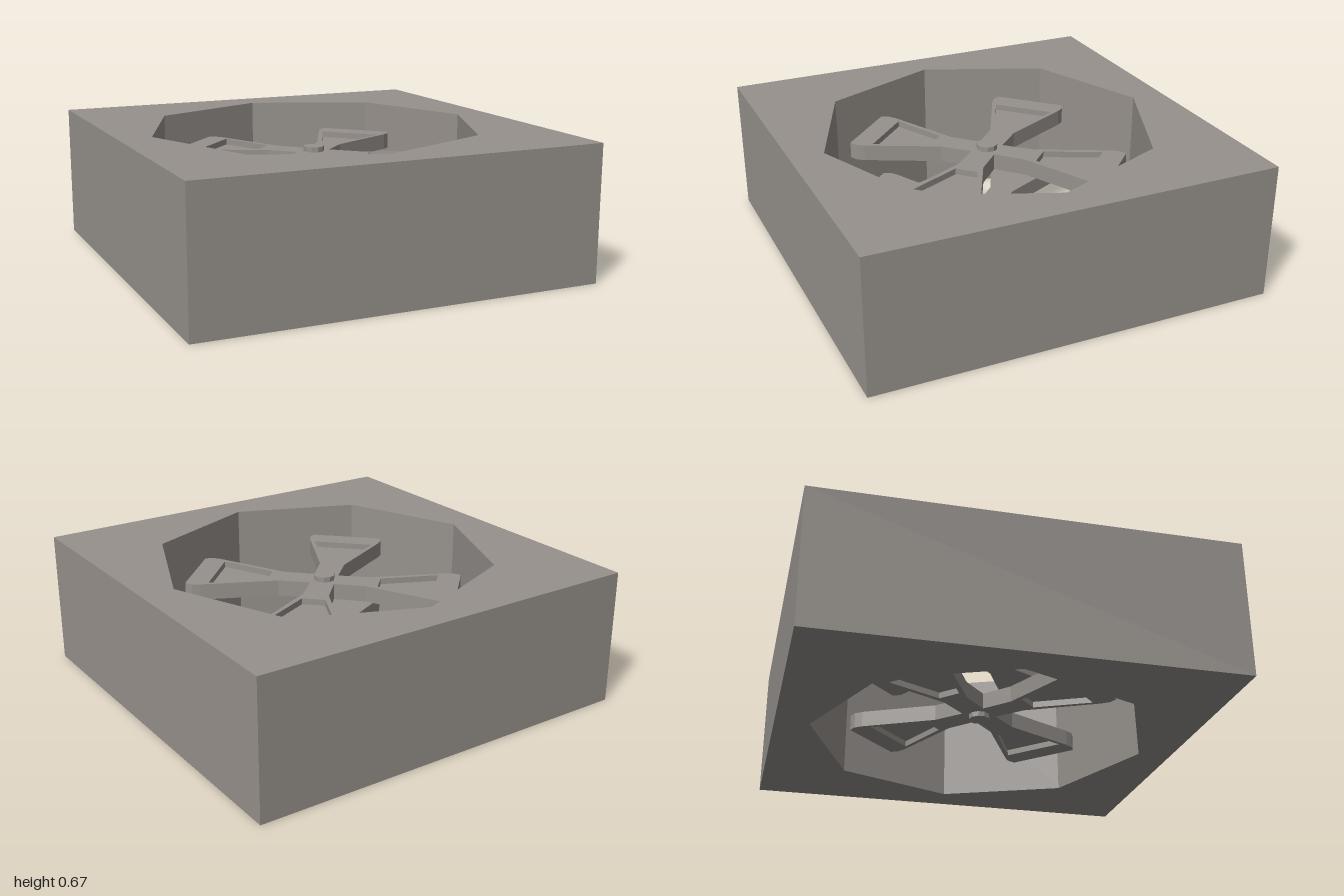
import * as THREE from 'three';

const HEIGHT = 0.67;
const toVecs = (pts) => pts.map(([x, y]) => new THREE.Vector2(x, y));

// Extrude a flat outline upwards from y = 0
function slab(shape, depth) {
  const g = new THREE.ExtrudeGeometry(shape, { depth, bevelEnabled: false });
  return g.rotateX(-Math.PI / 2);
}

// Repeat the outline of one diagonal blade around the hub
function crossShape() {
  const blade = [
    [0.085, 0], [0.2, 0.11], [0.545, 0.28], [0.58, 0.305], [0.597, 0.342],
    [0.342, 0.597], [0.305, 0.58], [0.28, 0.545], [0.11, 0.2],
  ];
  const pts = [];
  for (let i = 0; i < 4; i++) {
    for (const p of toVecs(blade)) pts.push(p.rotateAround(new THREE.Vector2(), i * Math.PI / 2));
  }
  return new THREE.Shape(pts);
}

function makeFan(material) {
  const fan = new THREE.Group();
  const add = (name, geometry, y) => {
    const m = new THREE.Mesh(geometry, material);
    m.name = name;
    m.position.y = y;
    fan.add(m);
  };

  // Solid lower layer, and an upper layer with a pocket in each blade
  add('bladeBase', slab(crossShape(), 0.05), 0);
  const rim = crossShape();
  const pocket = [[0.155, 0.235], [0.235, 0.155], [0.5, 0.28], [0.28, 0.5]];
  for (let i = 0; i < 4; i++) {
    const pts = toVecs(pocket).map((p) => p.rotateAround(new THREE.Vector2(), i * Math.PI / 2));
    rim.holes.push(new THREE.Path(pts));
  }
  add('bladeRim', slab(rim, 0.03), 0.05);

  // Hub button
  add('hubButton', new THREE.CylinderGeometry(0.052, 0.052, 0.03, 10).toNonIndexed(), 0.09);
  fan.children[2].geometry.computeVertexNormals();
  return fan;
}

export function createModel() {
  const model = new THREE.Group();
  model.name = 'boxFan';
  const grey = new THREE.MeshStandardMaterial({ color: 0x96918c });
  grey.name = 'warmGrey';

  // Square housing with an eight-sided shaft through it
  const square = new THREE.Shape(toVecs([[-1, -1], [1, -1], [1, 1], [-1, 1]]));
  const hole = [];
  for (let i = 0; i < 8; i++) {
    const a = i * Math.PI / 4;
    hole.push([0.833 * Math.cos(a), 0.833 * Math.sin(a)]);
  }
  square.holes.push(new THREE.Path(toVecs(hole)));
  const housing = new THREE.Mesh(slab(square, HEIGHT), grey);
  housing.name = 'housing';
  model.add(housing);

  // Matching fans facing out of the top and the bottom
  const topFan = makeFan(grey);
  topFan.name = 'topFan';
  topFan.position.y = 0.46;
  const bottomFan = makeFan(grey);
  bottomFan.name = 'bottomFan';
  bottomFan.rotation.x = Math.PI;
  bottomFan.position.y = HEIGHT - 0.46;
  model.add(topFan, bottomFan);

  return model;
}
